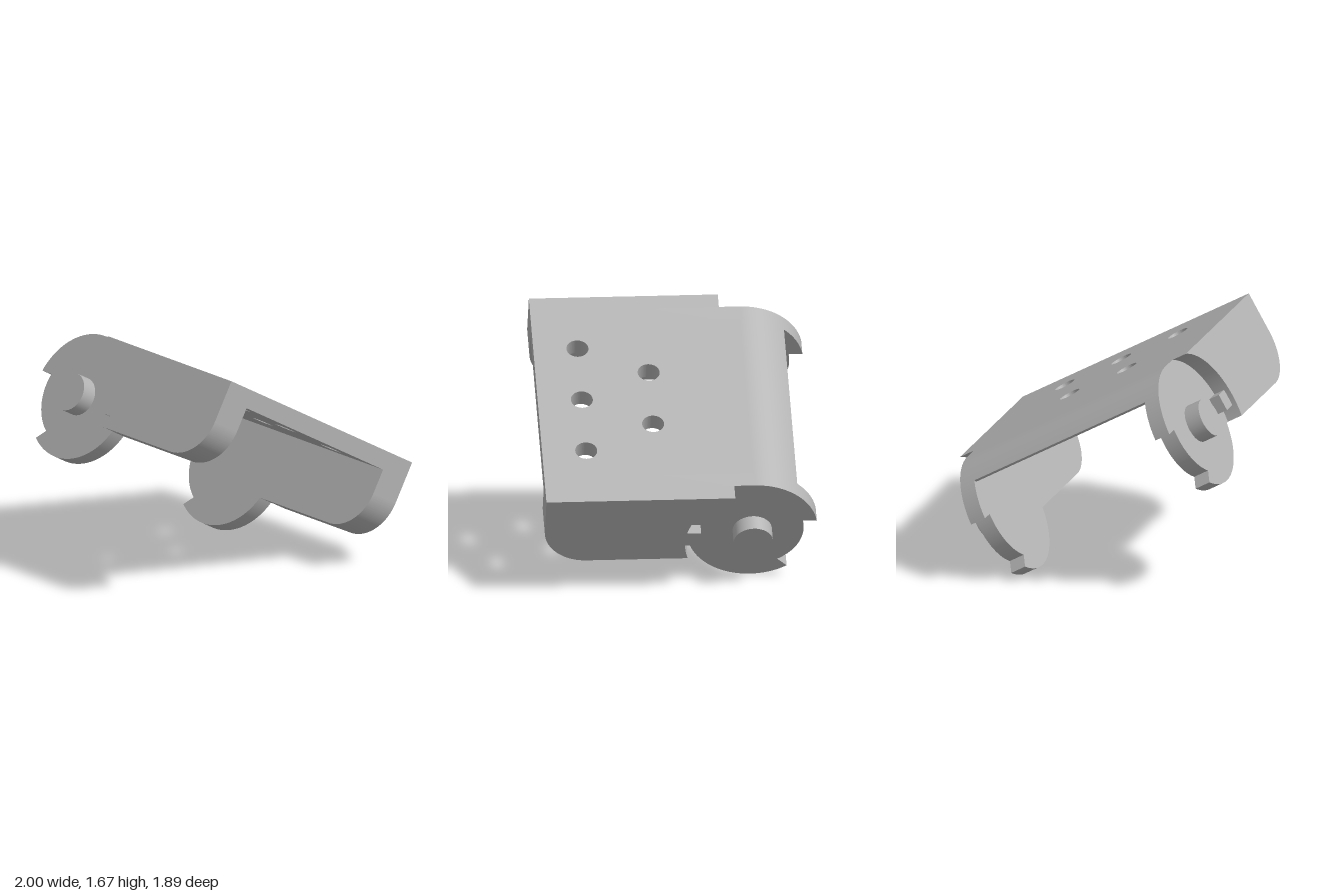
import * as THREE from 'three';
import { toCreasedNormals } from 'three/addons/utils/BufferGeometryUtils.js';

const HALF = 0.952;          // half width of the bracket
const WALL = 0.1165;         // thickness of each wall layer
const FRONT = 0.945;         // distance from centre to front edge
const PLATE = 0.127;         // top plate thickness
const HUB = { s: 0.5, v: -0.45, r: 0.45 }; // hub centre (s runs backward) and radius
const rad = THREE.MathUtils.degToRad;

export function createModel() {
  const model = new THREE.Group();
  model.name = 'bracket';
  const grey = new THREE.MeshStandardMaterial({ color: 0xb2b2b2 });
  grey.name = 'plain grey';

  const add = (name, geometry) => {
    const mesh = new THREE.Mesh(geometry, grey);
    mesh.name = name;
    model.add(mesh);
    return mesh;
  };
  const extrude = (shape, depth) => toCreasedNormals(
    new THREE.ExtrudeGeometry(shape, { depth, bevelEnabled: false, curveSegments: 40 }), rad(30));

  // Side profile (backward, up) extruded across the width, starting at x
  const acrossWidth = (name, shape, x, depth) => {
    const geometry = extrude(shape, depth);
    geometry.rotateY(Math.PI / 2);
    geometry.translate(x, 0, 0);
    return add(name, geometry);
  };

  // Bottom edge and rounded front corner shared by both wall layers
  const finishFront = (shape) => {
    shape.lineTo(-FRONT + 0.3, -0.6);
    shape.absarc(-FRONT + 0.3, -0.3, 0.3, rad(-90), rad(-180), true);
    shape.lineTo(-FRONT, 0);
    return shape;
  };

  // Inner layer: wall joined to a round hub with a stepped notch at the back
  const inner = new THREE.Shape();
  inner.moveTo(-FRONT, 0);
  inner.lineTo(HUB.s, 0);
  inner.absarc(HUB.s, HUB.v, HUB.r, rad(90), rad(10), true);
  inner.absarc(HUB.s, HUB.v, 0.355, rad(12.7), rad(-59), true);
  inner.absarc(HUB.s, HUB.v, HUB.r, rad(-56), rad(-160.5), true);
  finishFront(inner);

  // Outer layer: wall cut away by a circular recess around the hub
  const outer = new THREE.Shape();
  outer.moveTo(-FRONT, 0);
  outer.lineTo(0.36, 0);
  outer.absarc(HUB.s, HUB.v, 0.4713, Math.atan2(0.45, -0.14), rad(198.56), false);
  finishFront(outer);

  for (const side of [1, -1]) {
    const label = side > 0 ? 'left' : 'right';
    const start = (a) => (side > 0 ? a : -a - WALL);
    acrossWidth(label + 'HubWall', inner, start(HALF - 2 * WALL), WALL);
    acrossWidth(label + 'OuterWall', outer, start(HALF - WALL), WALL);

    // Pivot pin, flush with the outer wall
    const pin = add(label + 'PivotPin', new THREE.CylinderGeometry(0.136, 0.136, WALL + 0.02, 48));
    pin.rotation.z = Math.PI / 2;
    pin.position.set(side * (HALF - WALL / 2 - 0.01), HUB.v, -HUB.s);

    // Square stop tab at the front of the hub
    const tab = add(label + 'StopTab', new THREE.BoxGeometry(0.1, 0.12, 0.115));
    tab.position.set(side * (HALF - WALL + 0.03), HUB.v, -0.083);
  }

  // Flat top plate with five screw holes
  const w = HALF - 2 * WALL;
  const plate = new THREE.Shape();
  plate.moveTo(-w, -FRONT);
  plate.lineTo(w, -FRONT);
  plate.lineTo(w, HUB.s);
  plate.lineTo(-w, HUB.s);
  plate.closePath();
  for (const [x, z] of [[-0.476, 0.64], [0, 0.64], [0.476, 0.64], [-0.24, 0.163], [0.24, 0.163]]) {
    const hole = new THREE.Path();
    hole.absarc(x, -z, 0.076, 0, Math.PI * 2, true);
    plate.holes.push(hole);
  }
  const plateGeometry = extrude(plate, PLATE);
  plateGeometry.rotateX(-Math.PI / 2);
  plateGeometry.translate(0, -PLATE, 0);
  add('topPlate', plateGeometry);

  // Rounded back of the plate with a small lip beneath
  const back = new THREE.Shape();
  back.moveTo(HUB.s, 0);
  back.absarc(HUB.s, HUB.v, HUB.r, rad(90), rad(47), true);
  back.quadraticCurveTo(0.79, -0.155, 0.72, -PLATE);
  back.lineTo(HUB.s, -PLATE);
  back.closePath();
  acrossWidth('plateBack', back, -w, 2 * w);

  // Tilt the whole bracket sideways
  model.rotation.z = rad(-30);
  model.position.set(0.175, 1.205, 0);
  const group = new THREE.Group();
  group.name = 'tiltedBracket';
  group.add(model);
  return group;
}
